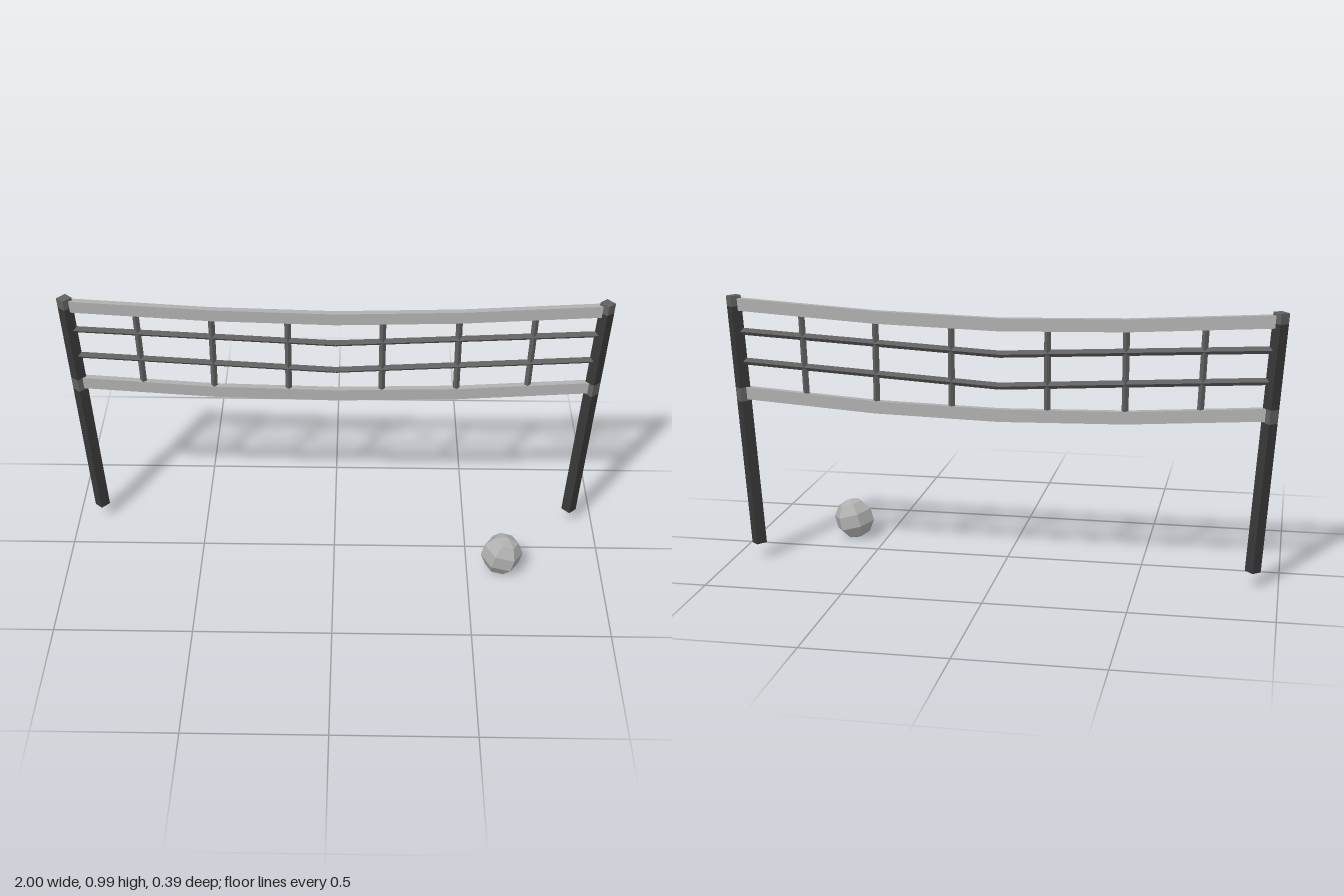
import * as THREE from 'three';

const NET_Z = -0.168;

function material(name, color) {
  const m = new THREE.MeshStandardMaterial({ color });
  m.name = name;
  return m;
}

// four-sided bar, corner forward, between two points
function bar(name, a, b, radius, mat) {
  const dir = b.clone().sub(a);
  const geo = new THREE.CylinderGeometry(radius, radius, dir.length(), 4).toNonIndexed();
  geo.computeVertexNormals();
  const mesh = new THREE.Mesh(geo, mat);
  mesh.name = name;
  mesh.position.copy(a).add(b).multiplyScalar(0.5);
  mesh.quaternion.setFromUnitVectors(new THREE.Vector3(0, 1, 0), dir.normalize());
  return mesh;
}

// sagging tape: half profile of [x, y] mirrored, then thickened
function tape(name, half, height, depth, mat) {
  const centre = [
    ...half.map(([x, y]) => [-x, y]),
    ...half.slice(0, -1).reverse(),
  ];
  const h = height / 2;
  const outline = [
    ...centre.map(([x, y]) => new THREE.Vector2(x, y - h)),
    ...centre.slice().reverse().map(([x, y]) => new THREE.Vector2(x, y + h)),
  ];
  const geo = new THREE.ExtrudeGeometry(new THREE.Shape(outline), { depth, bevelEnabled: false });
  const mesh = new THREE.Mesh(geo, mat);
  mesh.name = name;
  mesh.position.z = NET_Z - depth / 2;
  return mesh;
}

export function createModel() {
  const post = material('dark post', 0x383838);
  const sleeve = material('post sleeve', 0x626262);
  const cord = material('net cord', 0x606060);
  const light = material('light tape', 0xb0b0b0);
  light.flatShading = true;
  const group = new THREE.Group();
  group.name = 'netAndBall';
  const at = (x, y) => new THREE.Vector3(x, y, NET_Z);

  // leaning posts with lighter sleeves where the tapes attach
  const cuts = [0.06, 0.602, 0.652, 0.95, 0.988];
  const postX = (y) => 0.909 + (y - 0.06) * 0.0675;
  for (const side of [-1, 1]) {
    const p = new THREE.Group();
    p.name = side < 0 ? 'rightPost' : 'leftPost';
    for (let i = 0; i < 4; i++) {
      const [y0, y1] = [cuts[i], cuts[i + 1]];
      p.add(bar(i % 2 ? 'postSleeve' : 'postShaft',
        at(side * postX(y0), y0), at(side * postX(y1), y1), 0.028, i % 2 ? sleeve : post));
    }
    group.add(p);
  }

  // tapes along the top and bottom of the net
  group.add(tape('topTape', [[0.965, 0.957], [0.45, 0.926], [0, 0.914]], 0.045, 0.024, light));
  group.add(tape('bottomTape', [[0.945, 0.632], [0.45, 0.599], [0, 0.588]], 0.045, 0.024, light));

  // cords of the net
  for (const side of [-1, 1]) {
    for (const [end, middle] of [[0.858, 0.808], [0.749, 0.693]]) {
      group.add(bar('longCord', at(side * 0.955, end), at(0, middle), 0.013, cord));
    }
    for (const [top, bottom, y1, y0] of [
      [0.72, 0.708, 0.935, 0.62], [0.447, 0.447, 0.92, 0.6], [0.172, 0.172, 0.915, 0.59],
    ]) {
      group.add(bar('crossCord', at(side * bottom, y0), at(side * top, y1), 0.012, cord));
    }
  }

  // faceted ball resting on the ground, slightly tipped
  const ball = new THREE.Mesh(new THREE.SphereGeometry(0.078, 6, 5), light);
  ball.name = 'ball';
  ball.position.set(0.628, 0.0775, 0.132);
  ball.rotation.z = -0.26;
  group.add(ball);

  return group;
}
